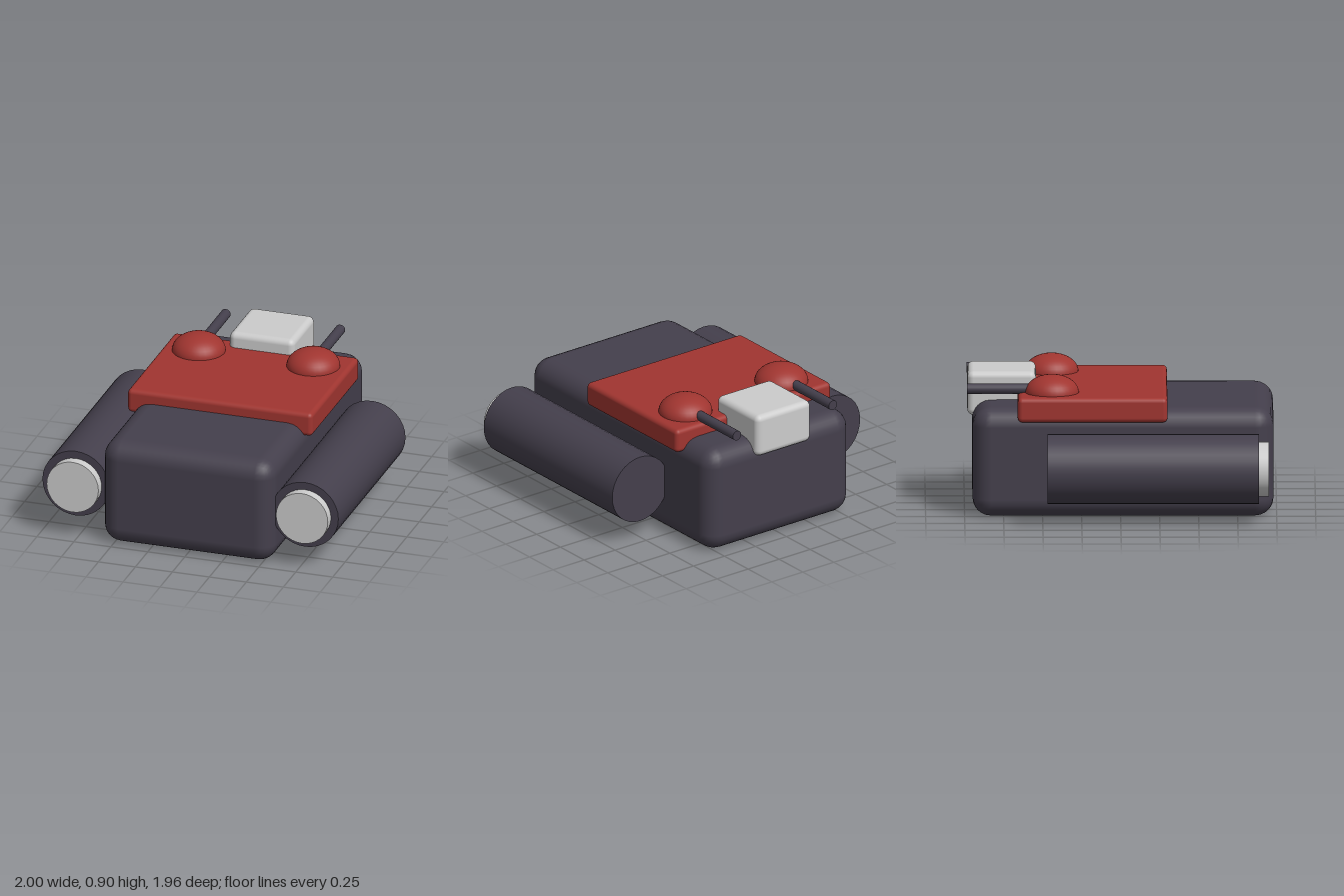
import * as THREE from 'three';
import { RoundedBoxGeometry } from 'three/addons/geometries/RoundedBoxGeometry.js';

export function createModel() {
  const model = new THREE.Group();
  const dark = new THREE.MeshStandardMaterial({ color: 0x443f4c });
  const red = new THREE.MeshStandardMaterial({ color: 0xa03530 });
  const grey = new THREE.MeshStandardMaterial({ color: 0xcccccc });

  function add(name, geometry, material, x, y, z) {
    const mesh = new THREE.Mesh(geometry, material);
    mesh.name = name;
    mesh.position.set(x, y, z);
    model.add(mesh);
    return mesh;
  }

  // Cylinder lying along z between two depths
  function rod(name, radius, z0, z1, material, x, y, sides = 32) {
    const geometry = new THREE.CylinderGeometry(radius, radius, z1 - z0, sides);
    geometry.rotateX(Math.PI / 2);
    return add(name, geometry, material, x, y, (z0 + z1) / 2);
  }

  // Hull, top plate and the block at the back
  add('body', new RoundedBoxGeometry(1.16, 0.71, 1.93, 3, 0.12), dark, 0, 0.355, 0.015);
  add('topPlate', new RoundedBoxGeometry(1.25, 0.16, 0.96, 3, 0.03), red, 0, 0.71, -0.18);
  add('rearBlock', new RoundedBoxGeometry(0.44, 0.285, 0.44, 3, 0.04), grey, 0, 0.748, -0.762);

  for (const [side, s] of [['left', 1], ['right', -1]]) {
    // Side pods with pale front caps
    rod(side + 'Pod', 0.225, -0.47, 0.885, dark, s * 0.775, 0.358);
    rod(side + 'PodCap', 0.175, 0.8, 0.95, grey, s * 0.775, 0.358);

    // Flattened domes with rear-facing barrels
    const dome = add(side + 'Dome', new THREE.SphereGeometry(0.173, 32, 20), red, s * 0.387, 0.79, -0.44);
    dome.scale.y = 0.66;
    rod(side + 'Barrel', 0.033, -0.985, -0.44, dark, s * 0.387, 0.812, 16);
  }
  return model;
}
